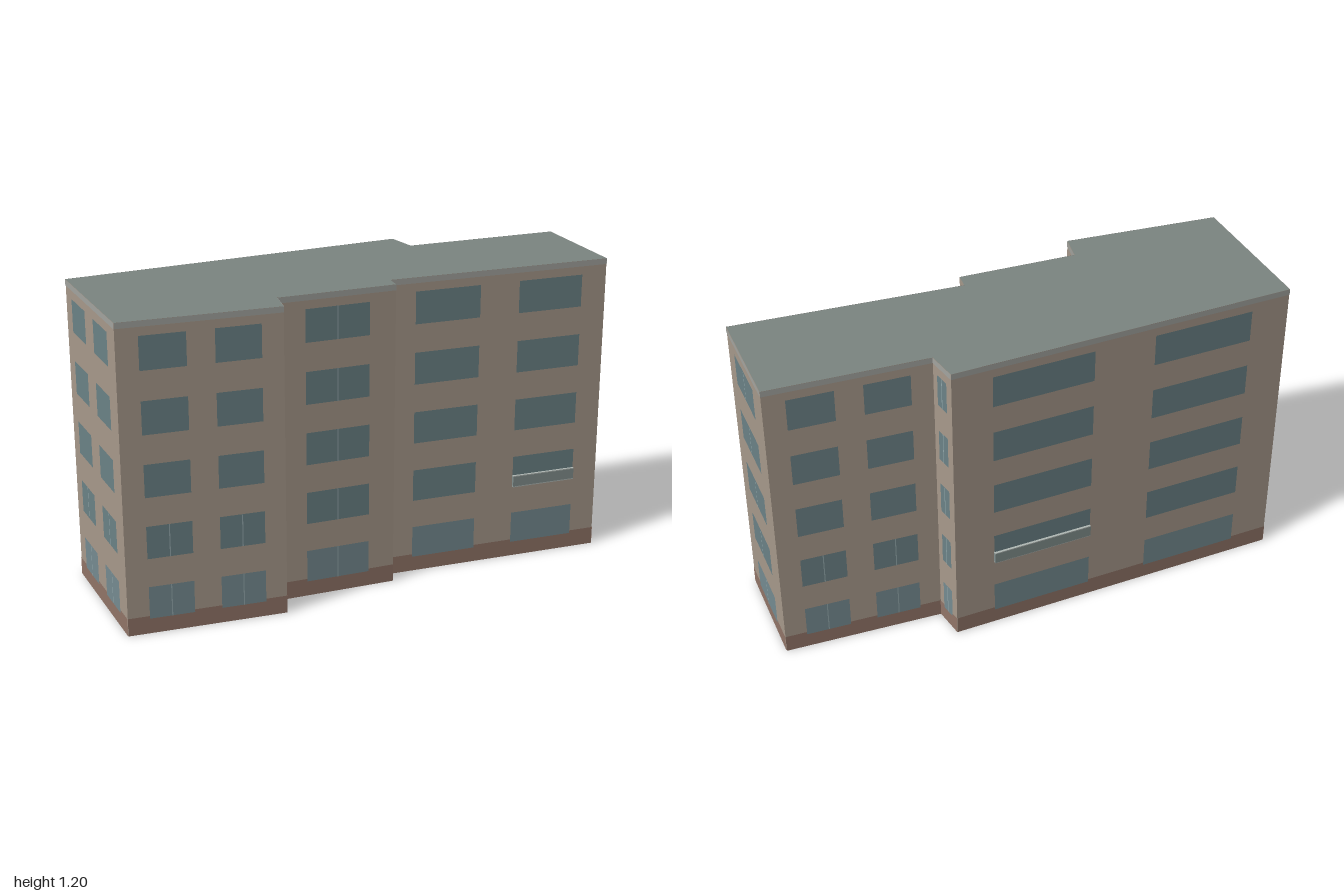
import * as THREE from 'three';

const HEIGHT = 1.195, BASE = 0.07, BAND = 0.022;
const FLOORS = 5, FLOOR_STEP = 0.2385, SILL = 0.06, WINDOW_H = 0.127;

const paint = (color) => new THREE.MeshStandardMaterial({ color, side: THREE.DoubleSide });
const wallMat = paint(0xa89a8c), baseMat = paint(0x927568), bandMat = paint(0xa4a5a0);
const roofMat = paint(0x7c8581), glassMat = paint(0x6c8387), groundGlassMat = paint(0x768c92);
const frameMat = paint(0x93a8ac), panelMat = paint(0x83918f), railMat = paint(0xb0b8b4);

// Window columns as [start, end] fractions of the facade length
const PAIR = [[0.135, 0.415], [0.585, 0.865]];
const WIDE_PAIR = [[0.115, 0.41], [0.59, 0.885]];
const SINGLE = [[0.23, 0.775]];
const NARROW = [[0.26, 0.765]];

// Footprint corners (x, z), each with the facade running to the next corner;
// mullions = number of floors with divided windows, balcony = column with a railing
const FACADES = [
  { name: 'leftEnd', at: [-1.0, 0.155], columns: PAIR, mullions: 2 },
  { name: 'frontLeft', at: [-0.722, 0.66], columns: PAIR, mullions: 2 },
  { name: 'frontStep', at: [-0.166, 0.427], columns: NARROW, mullions: 5 },
  { name: 'frontMiddle', at: [-0.2, 0.327], columns: SINGLE, mullions: 5 },
  { name: 'plainStep', at: [0.214, 0.13], columns: [], mullions: 0, plain: true },
  { name: 'frontRight', at: [0.19, 0.075], columns: WIDE_PAIR, mullions: 0, balcony: 1 },
  { name: 'rightEnd', at: [1.0, -0.278], columns: SINGLE, mullions: 5 },
  { name: 'backRight', at: [0.8, -0.66], columns: PAIR, mullions: 2 },
  { name: 'backStep', at: [0.246, -0.403], columns: NARROW, mullions: 5 },
  { name: 'backLeft', at: [0.171, -0.5], columns: WIDE_PAIR, mullions: 0, balcony: 0 },
];

// Flat rectangle on a facade, from its lower left corner, raised by `out`
function panel(parent, name, mat, x, y, w, h, out) {
  const mesh = new THREE.Mesh(new THREE.PlaneGeometry(w, h), mat);
  mesh.position.set(x + w / 2, y + h / 2, out);
  mesh.name = name;
  parent.add(mesh);
}

// Shallow railing box in front of a window
function addBalcony(parent, x, y, w) {
  const balcony = new THREE.Group();
  balcony.name = 'balcony';
  const depth = 0.012, h = 0.042;
  const parts = [['balconyPanel', panelMat, 0, h], ['balconyRail', railMat, h, 0.004], ['balconySlab', railMat, -0.002, 0.004]];
  for (const [name, mat, bottom, height] of parts) {
    const mesh = new THREE.Mesh(new THREE.BoxGeometry(w, height, depth), mat);
    mesh.position.set(x + w / 2, y + bottom + height / 2, depth / 2);
    mesh.name = name;
    balcony.add(mesh);
  }
  parent.add(balcony);
}

// One facade: local x runs along the wall, local z points outward
function buildFacade(spec, next) {
  const [x0, z0] = spec.at, [x1, z1] = next.at;
  const length = Math.hypot(x1 - x0, z1 - z0);
  const facade = new THREE.Group();
  facade.name = spec.name;
  facade.position.set(x0, 0, z0);
  facade.rotation.y = Math.atan2(z0 - z1, x1 - x0);

  panel(facade, 'wall', wallMat, 0, 0, length, HEIGHT, 0);
  if (spec.plain) return facade;
  panel(facade, 'plinth', baseMat, 0, 0, length, BASE, 0.0015);
  panel(facade, 'roofBand', bandMat, 0, HEIGHT - BAND, length, BAND, 0.0015);

  for (let floor = 0; floor < FLOORS; floor++) {
    const y = SILL + floor * FLOOR_STEP;
    spec.columns.forEach(([a, b], column) => {
      const x = a * length, w = (b - a) * length;
      panel(facade, 'window', floor === 0 ? groundGlassMat : glassMat, x, y, w, WINDOW_H, 0.003);
      if (floor < spec.mullions) {
        panel(facade, 'mullion', frameMat, x + w / 2 - 0.002, y, 0.004, WINDOW_H, 0.004);
      }
      if (floor === 1 && spec.balcony === column) addBalcony(facade, x, y + 0.003, w);
    });
  }
  return facade;
}

export function createModel() {
  const building = new THREE.Group();
  building.name = 'apartmentBlock';

  FACADES.forEach((spec, i) => building.add(buildFacade(spec, FACADES[(i + 1) % FACADES.length])));

  // Flat roof over the stepped footprint, open underneath
  const outline = new THREE.Shape(FACADES.map(({ at }) => new THREE.Vector2(at[0], -at[1])));
  const roof = new THREE.Mesh(new THREE.ShapeGeometry(outline).rotateX(-Math.PI / 2), roofMat);
  roof.position.y = HEIGHT;
  roof.name = 'roof';
  building.add(roof);

  return building;
}
